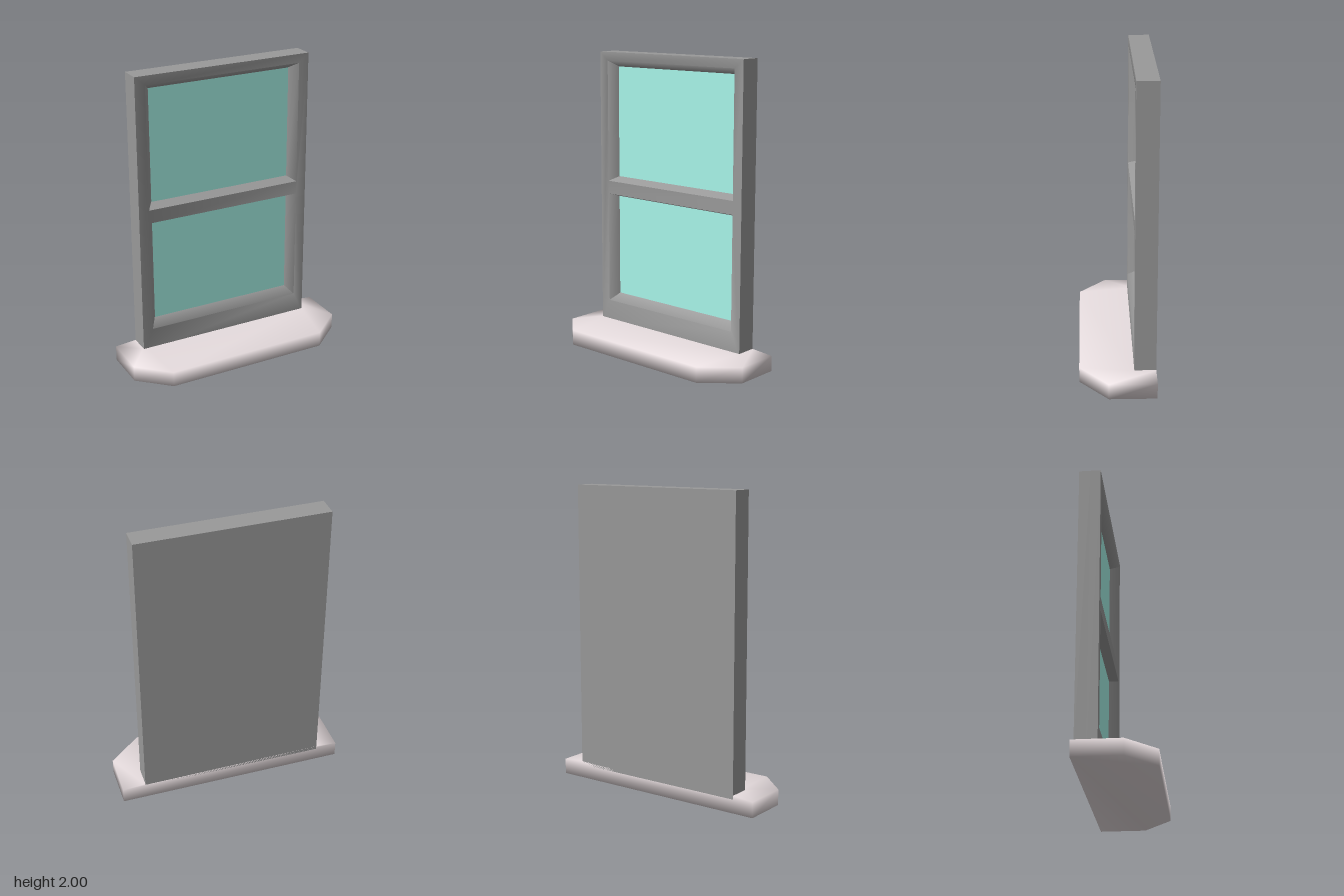
import * as THREE from 'three';
import { toCreasedNormals } from 'three/addons/utils/BufferGeometryUtils.js';

const LEFT = -0.625, RIGHT = 0.615, TOP = 2, BASE = 0.09;
const FRONT = -0.105, PANE = -0.17, BACK = -0.245;
const paneX = [-0.51, 0.5];
// pane edges, with the wider opening edges at the face of the frame
const openings = [
  { y0: 0.3, y1: 1.0, f0: 0.25, f1: 1.02 },
  { y0: 1.14, y1: 1.9, f0: 1.11, f1: 1.94 },
];

function rect(Type, x0, y0, x1, y1) {
  const r = new Type();
  r.moveTo(x0, y0);
  r.lineTo(x1, y0);
  r.lineTo(x1, y1);
  r.lineTo(x0, y1);
  r.closePath();
  return r;
}

// Frame face with two openings that flare towards the front
function frameGeometry() {
  const shape = rect(THREE.Shape, LEFT, BASE, RIGHT, TOP);
  for (const o of openings) shape.holes.push(rect(THREE.Path, paneX[0], o.y0, paneX[1], o.y1));
  const g = new THREE.ExtrudeGeometry(shape, { depth: FRONT - PANE, bevelEnabled: false });
  g.translate(0, 0, PANE);
  const p = g.attributes.position;
  const near = (a, b) => Math.abs(a - b) < 1e-4;
  for (let i = 0; i < p.count; i++) {
    if (!near(p.getZ(i), FRONT)) continue;
    const y = p.getY(i);
    for (const o of openings) {
      if (!near(y, o.y0) && !near(y, o.y1)) continue;
      p.setX(i, p.getX(i) + Math.sign(p.getX(i)) * 0.045);
      p.setY(i, near(y, o.y0) ? o.f0 : o.f1);
    }
  }
  return toCreasedNormals(g, 1.05);
}

// Sill lofted through rings: bottom, upper edge, raised middle
function sillGeometry() {
  const outline = [[-0.77, -0.245], [-0.77, 0.06], [-0.57, 0.245], [0.55, 0.245], [0.77, 0.06], [0.77, -0.245]];
  const middle = [[-0.63, -0.245], [-0.63, -0.11], [-0.6, -0.1], [0.6, -0.1], [0.62, -0.11], [0.62, -0.245]];
  const rings = [[outline, 0], [outline, 0.103], [middle, 0.115]];
  const pos = [], index = [], n = outline.length;
  for (const [ring, y] of rings) for (const [x, z] of ring) pos.push(x, y, z);
  for (let r = 0; r < rings.length - 1; r++) {
    for (let i = 0; i < n; i++) {
      const a = r * n + i, b = r * n + (i + 1) % n;
      index.push(a, b, b + n, a, b + n, a + n);
    }
  }
  const t = (rings.length - 1) * n;
  for (let i = 1; i < n - 1; i++) {
    index.push(0, i + 1, i);
    index.push(t, t + i, t + i + 1);
  }
  const g = new THREE.BufferGeometry();
  g.setAttribute('position', new THREE.Float32BufferAttribute(pos, 3));
  g.setIndex(index);
  g.computeVertexNormals();
  return g;
}

export function createModel() {
  const group = new THREE.Group();
  const frameMat = new THREE.MeshStandardMaterial({ color: 0x999999 });
  const sillMat = new THREE.MeshStandardMaterial({ color: 0xe6dcde });
  const glassMat = new THREE.MeshStandardMaterial({ color: 0xa8f5ea });

  const add = (name, geometry, material, x = 0, y = 0, z = 0) => {
    const mesh = new THREE.Mesh(geometry, material);
    mesh.name = name;
    mesh.position.set(x, y, z);
    group.add(mesh);
  };

  add('windowFrame', frameGeometry(), frameMat);

  // Solid back of the frame
  add('backPanel', new THREE.BoxGeometry(RIGHT - LEFT, TOP - BASE, PANE - BACK), frameMat,
    (LEFT + RIGHT) / 2, (TOP + BASE) / 2, (PANE + BACK) / 2);

  // Glass panes
  openings.forEach((o, i) => {
    add(i ? 'upperPane' : 'lowerPane', new THREE.PlaneGeometry(paneX[1] - paneX[0], o.y1 - o.y0), glassMat,
      (paneX[0] + paneX[1]) / 2, (o.y0 + o.y1) / 2, PANE + 0.003);
  });

  add('sill', sillGeometry(), sillMat);
  return group;
}
